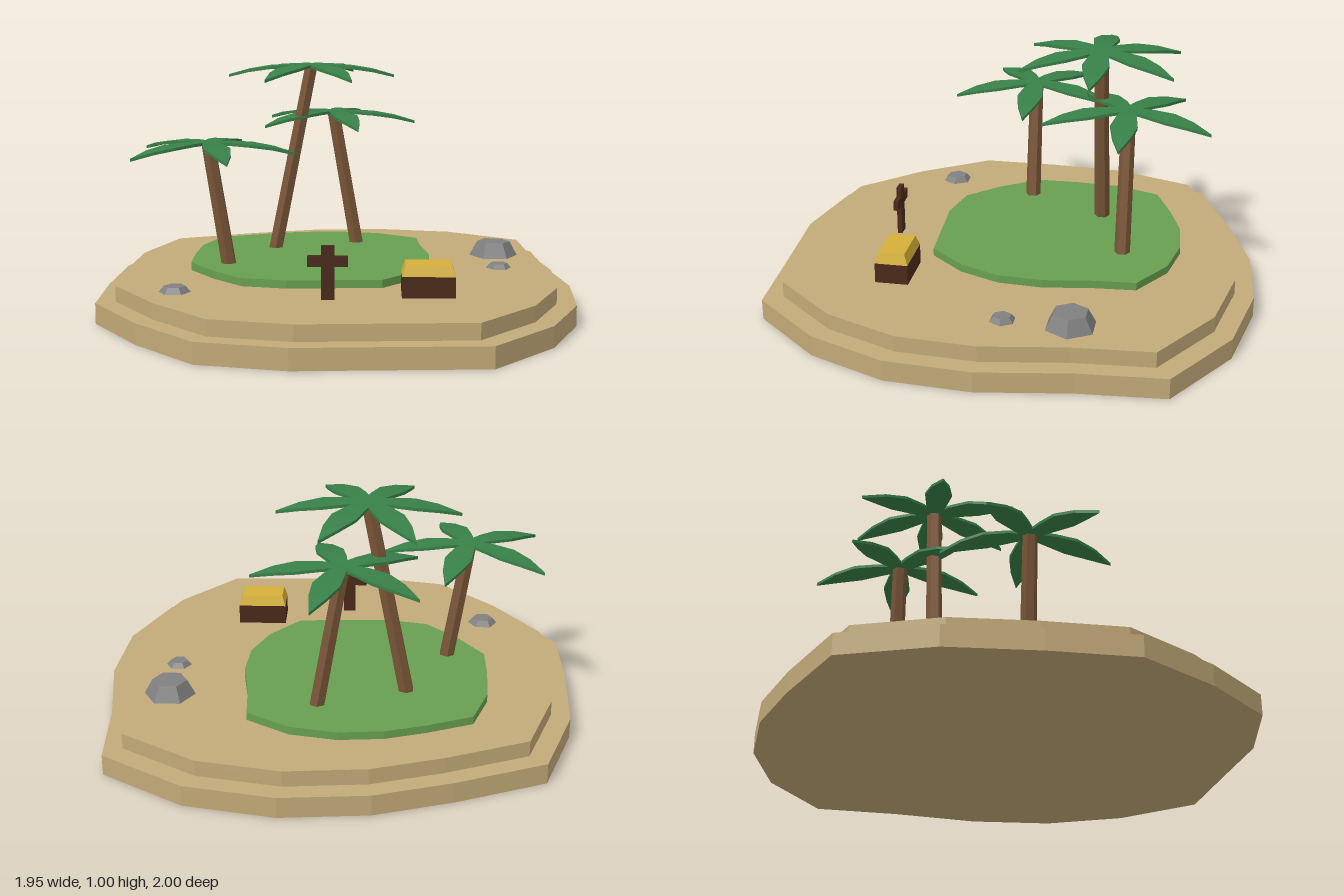
import * as THREE from 'three';

const material = (name, color) => {
  const m = new THREE.MeshStandardMaterial({ color, flatShading: true });
  m.name = name;
  return m;
};

// Shared shoreline outline, as x, z pairs
const OUTLINE = [
  [-0.83, -0.72], [-0.47, -0.87], [-0.16, -0.97], [0.19, -1], [0.55, -0.93], [0.885, -0.72],
  [0.91, -0.37], [0.97, 0], [0.95, 0.35], [0.82, 0.67], [0.575, 0.955], [0.19, 0.975],
  [-0.16, 0.995], [-0.51, 0.92], [-0.76, 0.66], [-0.97, 0.35], [-0.975, 0], [-0.955, -0.36],
];

export function createModel() {
  const sand = material('sand', 0xc2aa78);
  const grass = material('grass', 0x689f50);
  const bark = material('bark', 0x7a5638);
  const leaf = material('leaf', 0x388048);
  const stone = material('stone', 0x808080);
  const darkWood = material('darkWood', 0x4a2a1a);
  const gold = material('gold', 0xd4af37);

  const model = new THREE.Group();
  model.name = 'island';
  const add = (parent, name, geometry, mat, x = 0, y = 0, z = 0) => {
    const mesh = new THREE.Mesh(geometry, mat);
    mesh.name = name;
    mesh.position.set(x, y, z);
    parent.add(mesh);
    return mesh;
  };

  // Ground layers: the same outline at three scales
  const slab = (name, scale, y0, y1, mat, x = 0, z = 0) => {
    const shape = new THREE.Shape(OUTLINE.map(([px, pz]) => new THREE.Vector2(px * scale, -pz * scale)));
    const geometry = new THREE.ExtrudeGeometry(shape, { depth: y1 - y0, bevelEnabled: false });
    geometry.rotateX(-Math.PI / 2);
    add(model, name, geometry, mat, x, y0, z);
  };
  slab('lowerSand', 1, 0, 0.085, sand);
  slab('upperSand', 0.92, 0.085, 0.15, sand);
  slab('grassPatch', 0.52, 0.15, 0.183, grass, -0.12, -0.16);

  // Palm leaf: a thin bar widened to a blade and bent down towards the tip
  const LENGTH = 0.36;
  const halfWidths = [0.022, 0.042, 0.055, 0.036, 0.001];
  const leafGeometry = new THREE.BoxGeometry(LENGTH, 0.012, 2, 4, 1, 1);
  leafGeometry.translate(LENGTH / 2, -0.006, 0);
  const lp = leafGeometry.attributes.position;
  for (let i = 0; i < lp.count; i++) {
    const t = THREE.MathUtils.clamp(lp.getX(i) / LENGTH, 0, 1);
    lp.setZ(i, lp.getZ(i) * halfWidths[Math.round(t * 4)]);
    lp.setY(i, lp.getY(i) - 0.045 * t ** 2.6);
  }
  leafGeometry.computeVertexNormals();

  // Palm: leaning six-sided trunk and a ring of leaves
  const palm = (name, baseX, topX, topY, z, leafCount) => {
    const group = new THREE.Group();
    group.name = name;
    model.add(group);
    const base = new THREE.Vector3(baseX, 0.16, z);
    const top = new THREE.Vector3(topX, topY - 0.012, z);
    const direction = top.clone().sub(base);
    const trunk = add(group, 'trunk', new THREE.CylinderGeometry(0.03, 0.033, direction.length(), 6), bark);
    trunk.position.copy(base).add(top).multiplyScalar(0.5);
    trunk.quaternion.setFromUnitVectors(new THREE.Vector3(0, 1, 0), direction.normalize());
    for (let i = 0; i < leafCount; i++) {
      const blade = add(group, 'leaf', leafGeometry, leaf, topX, topY, z);
      blade.rotation.y = (i / leafCount) * Math.PI * 2;
    }
  };
  palm('tallPalm', -0.293, -0.13, 0.995, -0.315, 6);
  palm('middlePalm', 0.07, -0.035, 0.78, -0.445, 5);
  palm('shortPalm', -0.462, -0.545, 0.697, 0.025, 5);

  // Rocks: six-sided blocks narrowing upwards
  const rock = (name, x, z, radius, height) => {
    const geometry = new THREE.CylinderGeometry(radius * 0.68, radius, height, 6);
    geometry.rotateY(Math.PI / 6);
    add(model, name, geometry, stone, x, 0.15 + height / 2, z);
  };
  rock('largeRock', 0.675, -0.32, 0.105, 0.062);
  rock('smallRock', 0.675, -0.055, 0.053, 0.02);
  rock('mediumRock', -0.64, 0.42, 0.064, 0.024);

  // Treasure chest with a tapered lid
  const chest = new THREE.Group();
  chest.name = 'chest';
  chest.position.set(0.356, 0.15, 0.443);
  model.add(chest);
  add(chest, 'chestBody', new THREE.BoxGeometry(0.208, 0.084, 0.136), darkWood, 0, 0.042, 0);
  const lid = new THREE.BoxGeometry(0.208, 0.044, 0.136);
  const p = lid.attributes.position;
  for (let i = 0; i < p.count; i++) {
    if (p.getY(i) > 0) {
      p.setX(i, Math.sign(p.getX(i)) * 0.09);
      p.setZ(i, Math.sign(p.getZ(i)) * 0.053);
    }
  }
  lid.computeVertexNormals();
  add(chest, 'chestLid', lid, gold, 0, 0.106, 0);

  // Wooden cross marker
  add(model, 'crossPost', new THREE.BoxGeometry(0.052, 0.212, 0.02), darkWood, -0.034, 0.256, 0.533);
  add(model, 'crossArm', new THREE.BoxGeometry(0.156, 0.042, 0.021), darkWood, -0.034, 0.3, 0.533);

  return model;
}
